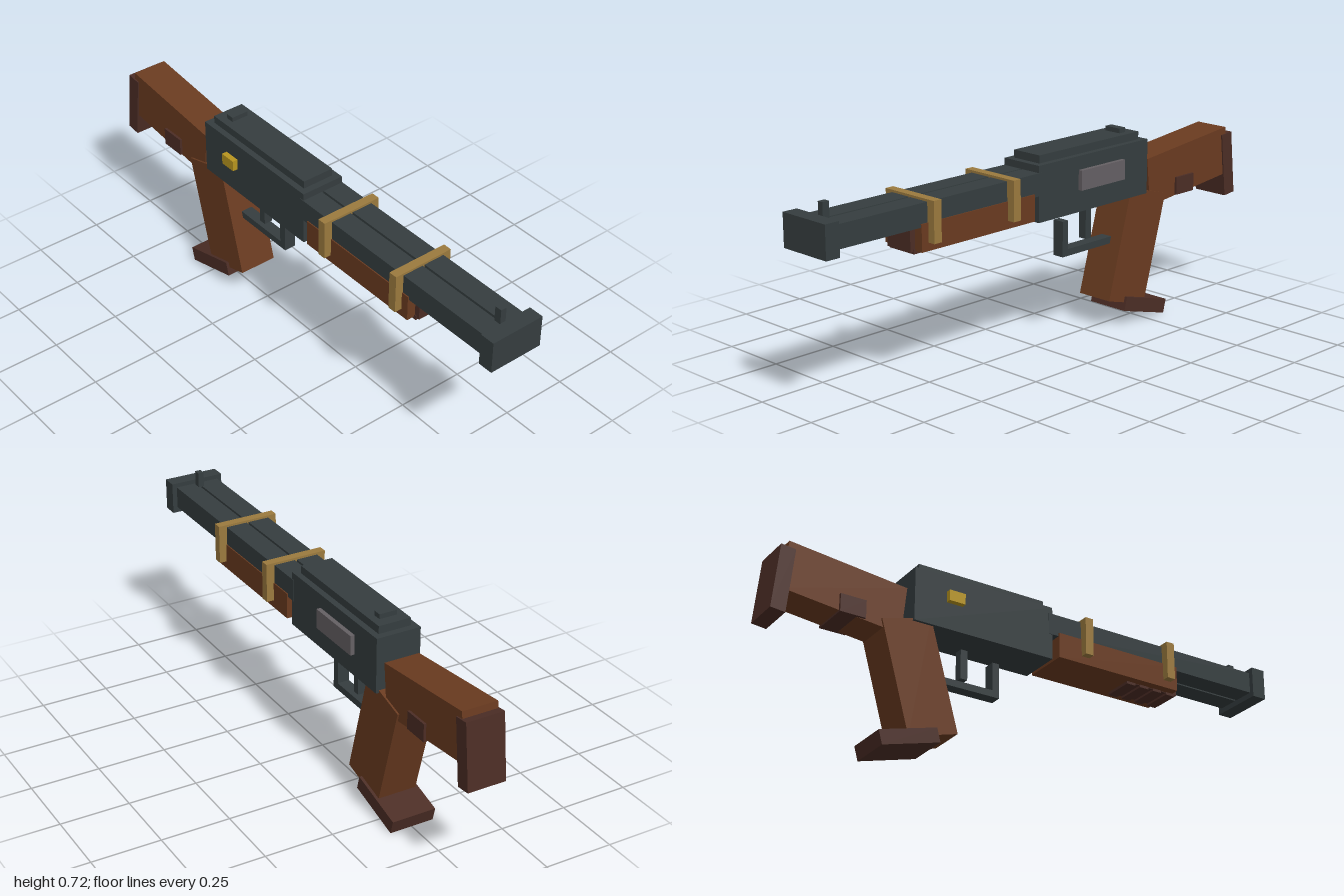
import * as THREE from 'three';

export function createModel() {
  const root = new THREE.Group();
  root.name = 'shotgun';

  const material = (name, color) => {
    const m = new THREE.MeshStandardMaterial({ color });
    m.name = name;
    return m;
  };
  const gunmetal = material('gunmetal', 0x353d3f);
  const wood = material('wood', 0x6a3b20);
  const darkWood = material('darkWood', 0x4c2d25);
  const brass = material('brass', 0x9b7a3e);
  const gold = material('gold', 0xb8951f);
  const steel = material('steel', 0x656064);

  // Box spanning the given x, y and z ranges
  function block(name, mat, [x0, x1], [y0, y1], [z0, z1]) {
    const mesh = new THREE.Mesh(new THREE.BoxGeometry(x1 - x0, y1 - y0, z1 - z0), mat);
    mesh.position.set((x0 + x1) / 2, (y0 + y1) / 2, (z0 + z1) / 2);
    mesh.name = name;
    root.add(mesh);
  }
  // Centred box tilted about the x axis
  function tilted(name, mat, [w, h, d], y, z, degrees) {
    const mesh = new THREE.Mesh(new THREE.BoxGeometry(w, h, d), mat);
    mesh.position.set(0, y, z);
    mesh.rotation.x = THREE.MathUtils.degToRad(degrees);
    mesh.name = name;
    root.add(mesh);
  }
  const wide = (half) => [-half, half];

  // Twin barrels with a narrow gap, muzzle block and front sight
  block('leftBarrel', gunmetal, [0.004, 0.084], [0.57, 0.65], [0.05, 0.95]);
  block('rightBarrel', gunmetal, [-0.084, -0.004], [0.57, 0.65], [0.05, 0.95]);
  block('muzzle', gunmetal, wide(0.102), [0.55, 0.666], [0.945, 1]);
  block('frontSight', gunmetal, wide(0.011), [0.648, 0.705], [0.908, 0.934]);

  // Receiver, raised cover and rear sight
  block('receiver', gunmetal, wide(0.082), [0.476, 0.675], [-0.485, 0.065]);
  block('receiverCover', gunmetal, wide(0.06), [0.675, 0.703], [-0.46, 0.04]);
  block('rearSight', gunmetal, wide(0.033), [0.703, 0.72], [-0.42, -0.39]);
  block('ejectionPlate', steel, [0.08, 0.098], [0.555, 0.626], [-0.35, -0.13]);
  block('safetyButton', gold, [-0.102, -0.08], [0.575, 0.615], [-0.362, -0.3]);

  // Wooden forend with a ribbed hand hold underneath
  block('forend', wood, wide(0.088), [0.488, 0.582], [0.09, 0.6]);
  block('handHold', darkWood, wide(0.055), [0.486, 0.56], [0.4, 0.62]);
  for (const z of [0.59, 0.532, 0.475, 0.418]) {
    block('handHoldRib', darkWood, wide(0.058), [0.478, 0.495], [z - 0.018, z + 0.018]);
  }

  // Brass bands around barrels and forend
  for (const z of [0.555, 0.2]) {
    block('barrelBand', brass, wide(0.115), [0.516, 0.658], [z - 0.016, z + 0.016]);
  }

  // Trigger and guard
  block('trigger', gunmetal, wide(0.016), [0.343, 0.452], [-0.265, -0.238]);
  block('guardFront', gunmetal, wide(0.022), [0.303, 0.432], [-0.142, -0.115]);
  block('guardBottom', gunmetal, wide(0.022), [0.303, 0.328], [-0.4, -0.115]);

  // Slanted pistol grip with its foot
  tilted('grip', wood, [0.143, 0.412, 0.192], 0.281, -0.452, -15.5);
  tilted('gripFoot', darkWood, [0.164, 0.052, 0.222], 0.054, -0.489, -15);

  // Stock, side block and butt plate
  tilted('stock', wood, [0.13, 0.178, 0.441], 0.529, -0.734, 6);
  block('stockBlock', darkWood, wide(0.074), [0.435, 0.5], [-0.755, -0.66]);
  tilted('buttPlate', darkWood, [0.14, 0.237, 0.054], 0.498, -0.96, 6);

  return root;
}
